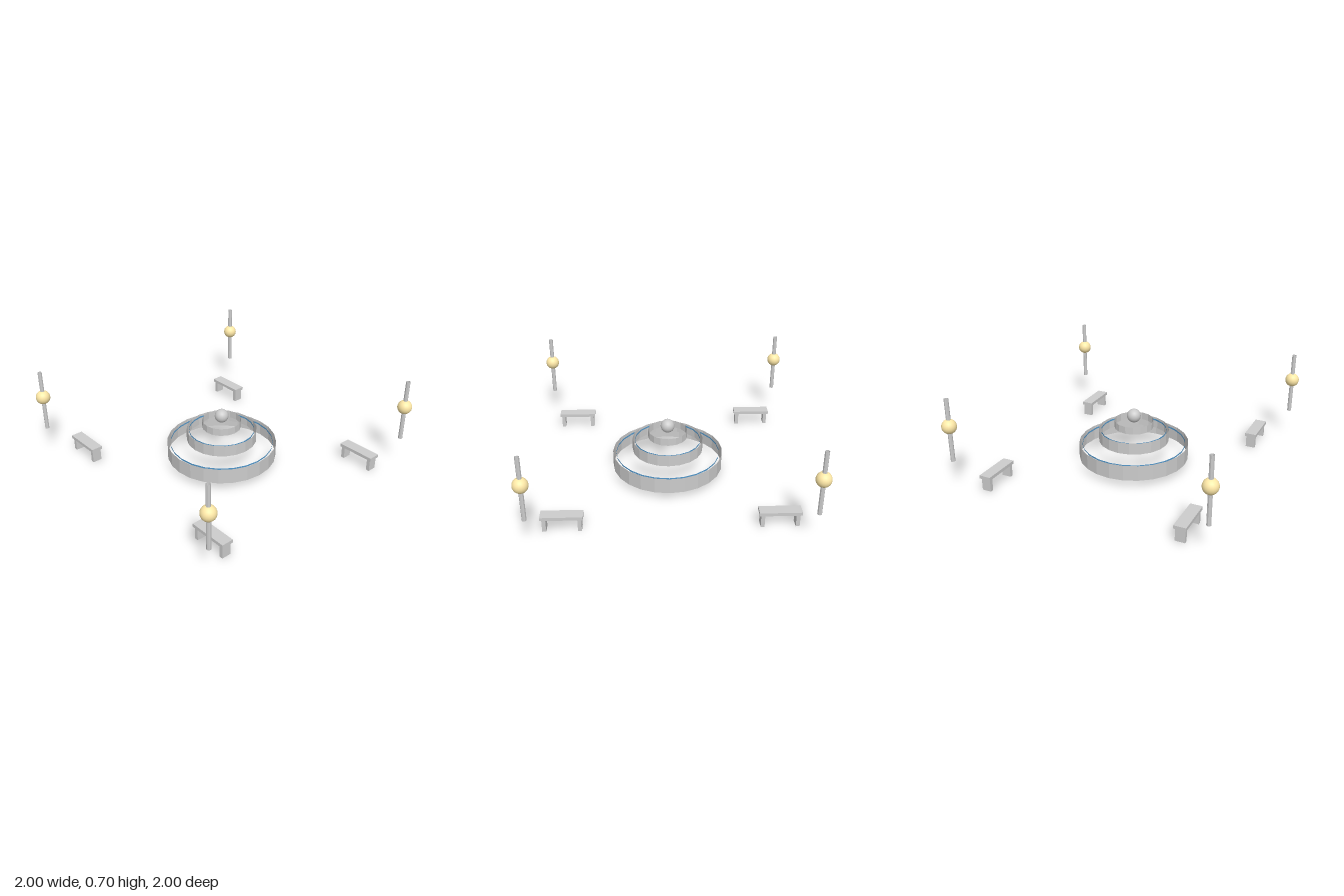
import * as THREE from 'three';

const grey = new THREE.MeshStandardMaterial({ color: 0xcccccc });
const greyOpen = new THREE.MeshStandardMaterial({ color: 0xcccccc, flatShading: true, side: THREE.DoubleSide });
const waterBlue = new THREE.MeshStandardMaterial({ color: 0x5599cc, flatShading: true, side: THREE.DoubleSide });
const lampYellow = new THREE.MeshStandardMaterial({ color: 0xffe9a8 });

function add(parent, name, geometry, material, x, y, z) {
  const mesh = new THREE.Mesh(geometry, material);
  mesh.name = name;
  mesh.position.set(x, y, z);
  parent.add(mesh);
  return mesh;
}

// Open wall of a cylinder, from height y0 to y1
function addTube(parent, name, radius, y0, y1, sides, material) {
  const geometry = new THREE.CylinderGeometry(radius, radius, y1 - y0, sides, 1, true);
  return add(parent, name, geometry, material, 0, (y0 + y1) / 2, 0);
}

function createFountain() {
  const fountain = new THREE.Group();
  fountain.name = 'fountain';
  // Three stacked basin walls
  addTube(fountain, 'lowerBasin', 0.414, 0.048, 0.166, 24, greyOpen);
  addTube(fountain, 'middleBasin', 0.265, 0.182, 0.27, 20, greyOpen);
  addTube(fountain, 'upperBasin', 0.147, 0.286, 0.342, 16, greyOpen);
  // Thin water rims just inside the basins
  addTube(fountain, 'lowerWater', 0.39, 0.148, 0.16, 24, waterBlue);
  addTube(fountain, 'middleWater', 0.247, 0.252, 0.264, 20, waterBlue);
  // Ball on top
  add(fountain, 'finial', new THREE.SphereGeometry(0.052, 20, 14), grey, 0, 0.375, 0);
  return fountain;
}

function createBench() {
  const bench = new THREE.Group();
  bench.name = 'bench';
  add(bench, 'seat', new THREE.BoxGeometry(0.29, 0.024, 0.087), grey, 0, 0.106, 0);
  for (const side of [-1, 1]) {
    add(bench, 'benchLeg', new THREE.BoxGeometry(0.027, 0.094, 0.07), grey, side * 0.12, 0.047, 0);
  }
  return bench;
}

function createLamp() {
  const lamp = new THREE.Group();
  lamp.name = 'lamp';
  addTube(lamp, 'lampPost', 0.016, 0.226, 0.696, 8, greyOpen);
  add(lamp, 'lampGlobe', new THREE.SphereGeometry(0.053, 20, 14), lampYellow, 0, 0.491, 0);
  return lamp;
}

export function createModel() {
  const model = new THREE.Group();
  model.name = 'fountainPlaza';
  model.add(createFountain());

  // A bench and a lamp in each corner
  for (const sx of [-1, 1]) {
    for (const sz of [-1, 1]) {
      const bench = createBench();
      bench.position.set(sx * 0.739, 0, sz * 0.738);
      const lamp = createLamp();
      lamp.position.set(sx * 0.947, 0, sz * 0.947);
      model.add(bench, lamp);
    }
  }
  return model;
}
